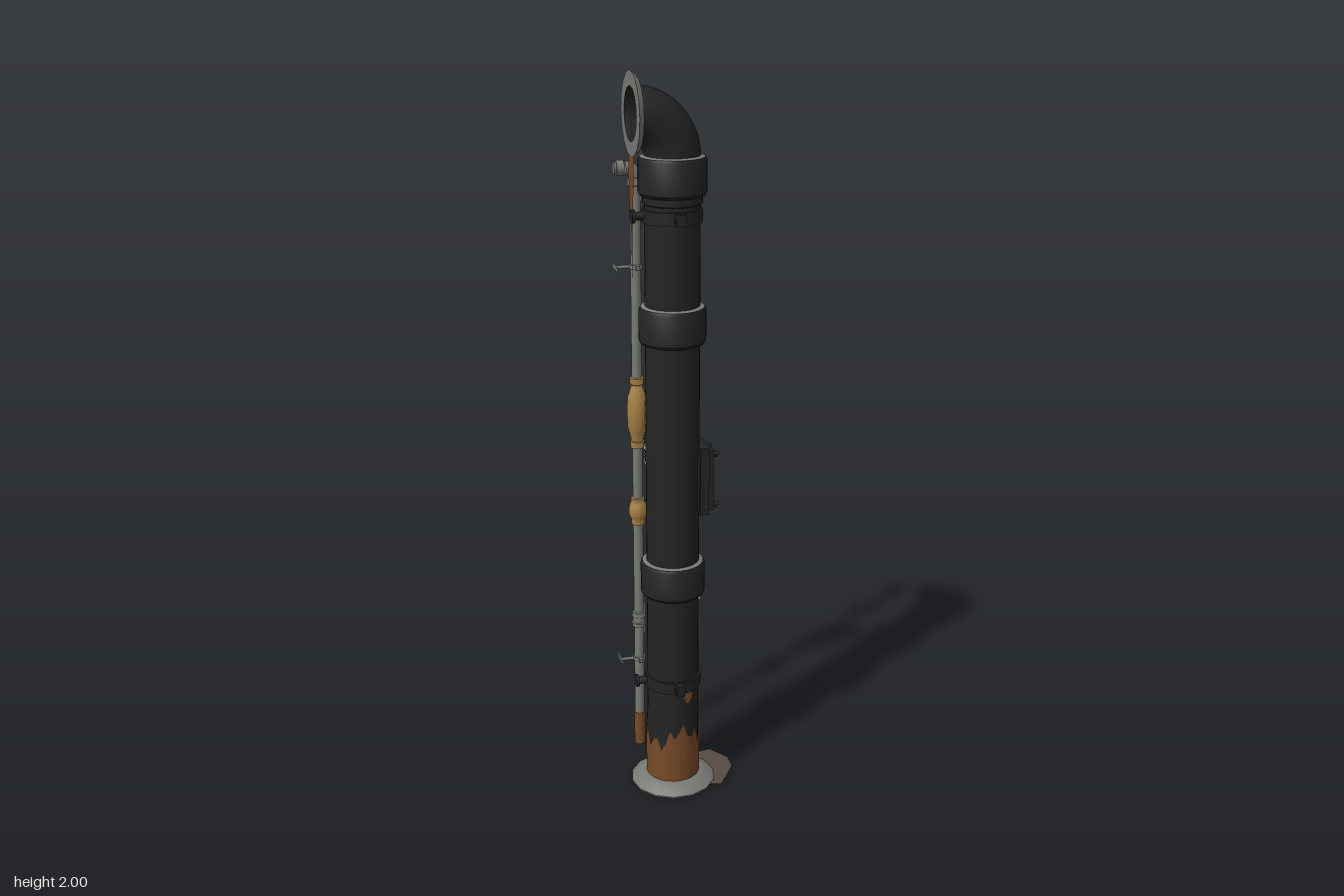
import * as THREE from 'three';
import { toCreasedNormals } from 'three/addons/utils/BufferGeometryUtils.js';

const mat = (name, color, side = THREE.FrontSide) => {
  const m = new THREE.MeshStandardMaterial({ color, side });
  m.name = name;
  return m;
};
const V = (x, y) => new THREE.Vector2(x, y);

export function createModel() {
  const iron = mat('black iron', 0x242424, THREE.DoubleSide);
  const grey = mat('zinc grey', 0x777a74, THREE.DoubleSide);
  const brass = mat('brass', 0xa58145);
  const rust = mat('rust', 0x784a28, THREE.DoubleSide);
  const red = mat('red handle', 0x9c1a1a);
  const cream = mat('cream', 0xdedace, THREE.DoubleSide);
  const stain = mat('damp stain', 0x574b43);

  const root = new THREE.Group();
  root.name = 'drainAndWaterPipes';
  const CX = -0.03, CZ = 0.073, R = 0.072;   // drain pipe axis
  const SX = -0.079, SZ = -0.134;            // water pipe axis
  const WALL = -0.137;

  const group = (name, x, z) => {
    const g = new THREE.Group();
    g.name = name;
    g.position.set(x, 0, z);
    root.add(g);
    return g;
  };
  const add = (parent, name, geo, m, x = 0, y = 0, z = 0) => {
    const mesh = new THREE.Mesh(geo, m);
    mesh.name = name;
    mesh.position.set(x, y, z);
    parent.add(mesh);
    return mesh;
  };
  // Turned part: [radius, y] pairs from bottom to top
  const turned = (pts, sides = 24) =>
    toCreasedNormals(new THREE.LatheGeometry(pts.map(p => V(...p)), sides, Math.PI / 2), 0.6);
  const rod = (r, h, sides = 16) => new THREE.CylinderGeometry(r, r, h, sides);
  const rodX = (r, h, sides = 12) => rod(r, h, sides).rotateZ(-Math.PI / 2);
  const box = (x, y, z) => new THREE.BoxGeometry(x, y, z);

  // ---------- Drain pipe ----------
  const drain = group('drainPipe', CX, CZ);
  add(drain, 'drainTube', new THREE.CylinderGeometry(R, R, 1.78, 28, 1, true), iron, 0, 0.90, 0);

  for (const y of [0.64, 1.355, 1.74]) {
    add(drain, 'coupling', turned([[R, -0.052], [0.083, -0.049], [0.088, -0.042], [0.088, 0.04],
      [0.084, 0.047], [R, 0.047]], 28), iron, 0, y, 0);
    add(drain, 'couplingWornEdge', turned([[0.083, 0.0475], [R, 0.0505]], 28), grey, 0, y, 0);
  }
  add(drain, 'collar', turned([[R, -0.012], [0.077, -0.009], [0.077, 0.009], [R, 0.012]], 28), iron, 0, 1.68, 0);

  // Wall bands with ears and a standoff
  for (const y of [0.325, 1.64]) {
    add(drain, 'wallBand', turned([[R, -0.017], [0.078, -0.017], [0.078, 0.017], [R, 0.017]], 28), iron, 0, y, 0);
    for (const s of [-1, 1]) {
      add(drain, 'bandEar', box(0.022, 0.032, 0.022), iron, 0, y, s * 0.084);
      add(drain, 'bandBolt', rodX(0.006, 0.032, 6), iron, 0, y, s * 0.087);
    }
    add(drain, 'bandStandoff', rodX(0.011, 0.04), iron, -0.087, y, 0);
    add(drain, 'bandWallPlate', rodX(0.018, 0.008), iron, WALL - CX + 0.004, y, 0);
  }

  // Elbow to the wall, with flange
  const bend = CX - WALL;
  add(drain, 'elbow', new THREE.TorusGeometry(bend, R, 24, 16, Math.PI / 2), iron, -bend, 1.787, 0);
  const flange = turned([[0.068, 0], [0.106, 0], [0.095, 0.014], [R, 0.015]].map(([r, y]) => [r, -y]).reverse(), 16);
  flange.rotateZ(Math.PI / 2);
  add(drain, 'wallFlange', flange, grey, -bend, 1.894, 0);
  add(drain, 'baseFlange', turned([[0.073, 0], [0.12, 0], [0.12, 0.004], [0.098, 0.02], [0.08, 0.028], [R, 0.028]], 14), grey);
  add(drain, 'baseOpening', rod(0.073, 0.004, 28), iron, 0, 0.008, 0);

  // Ragged rust sleeve at the foot
  const sleeve = new THREE.CylinderGeometry(0.0755, 0.0755, 0.12, 36, 1, true);
  const sp = sleeve.attributes.position;
  for (let i = 0; i < sp.count; i++) {
    if (sp.getY(i) > 0) {
      const a = (i % 37) % 36;
      sp.setY(i, 0.085 + 0.025 * Math.sin(a * 1.9) + 0.022 * Math.sin(a * Math.PI / 6 + 1));
    }
  }
  sleeve.computeVertexNormals();
  add(drain, 'rustFoot', sleeve, rust, 0, 0.08, 0);

  // Flat outline wrapped on the drain pipe at a given angle
  const patch = (name, m, deg, y, pts, lift = 0.0025) => {
    const g = new THREE.ShapeGeometry(new THREE.Shape(pts.map(p => V(...p))));
    const p = g.attributes.position, r = R + lift;
    for (let i = 0; i < p.count; i++) {
      const a = deg * Math.PI / 180 - p.getX(i) / r;
      p.setXYZ(i, r * Math.cos(a), p.getY(i), r * Math.sin(a));
    }
    g.computeVertexNormals();
    add(drain, name, g, m, 0, y, 0);
  };
  const blot = (w, h) => [[-0.5, 0.2], [-0.35, -0.1], [-0.2, -0.45], [0.1, -0.5], [0.4, -0.2],
    [0.5, 0.25], [0.25, 0.45], [-0.25, 0.5]].map(([x, y]) => [x * w, y * h]);
  patch('rustPatch', rust, -46, 1.535, blot(0.042, 0.075));
  patch('rustPatch', rust, 14, 0.24, blot(0.026, 0.085));
  patch('rustPatch', rust, 68, 0.29, blot(0.034, 0.035));
  patch('rustStreak', rust, -31, 0.81, blot(0.01, 0.1));
  patch('rustStreak', rust, -5, 0.45, blot(0.008, 0.24));
  patch('paintSplash', cream, 0, 0.568, blot(0.044, 0.026), 0.004);
  patch('paintDrip', cream, 6, 0.46, [[-0.003, 0.1], [-0.002, -0.12], [0.002, -0.12], [0.003, 0.1]], 0.003);
  patch('paintDrip', cream, -14, 0.41, [[-0.002, 0.15], [-0.001, -0.17], [0.001, -0.17], [0.002, 0.15]], 0.003);

  // Rust run on the wall below the flange
  const run = new THREE.ShapeGeometry(new THREE.Shape([[-0.03, 0.03], [-0.026, -0.1], [-0.014, -0.17],
    [-0.008, -0.13], [0.002, -0.32], [0.012, -0.18], [0.024, -0.08], [0.03, 0.03]].map(p => V(...p))));
  add(drain, 'wallRustRun', run.rotateY(-Math.PI / 2), rust, -bend + 0.001, 1.79, 0);

  // Inspection hatch with four bolts
  const hatch = group('inspectionHatch', CX, CZ);
  add(hatch, 'hatchNeck', box(0.05, 0.17, 0.09), iron, 0.07, 0.925, -0.002);
  add(hatch, 'hatchFrame', box(0.024, 0.19, 0.108), iron, 0.076, 0.925, -0.002);
  add(hatch, 'hatchCover', box(0.014, 0.17, 0.092), iron, 0.095, 0.925, -0.002);
  for (const y of [0.853, 0.997]) for (const z of [-0.036, 0.034]) {
    add(hatch, 'hatchBolt', rodX(0.005, 0.03, 8), iron, 0.104, y, z);
    add(hatch, 'hatchNut', rodX(0.009, 0.008, 6), iron, 0.108, y, z);
  }

  // Damp patch on the ground
  const puddle = new THREE.ExtrudeGeometry(new THREE.Shape([[0.0, 0.02], [0.045, 0.025], [0.11, 0.035], [0.15, -0.02],
    [0.15, -0.07], [0.093, -0.155], [0.055, -0.145], [0.0, -0.12]].map(p => V(...p))), { depth: 0.003, bevelEnabled: false });
  add(root, 'dampPatch', puddle.rotateX(-Math.PI / 2), stain);

  // ---------- Water pipe ----------
  const water = group('waterPipe', SX, SZ);
  add(water, 'waterTube', rod(0.0145, 1.69), grey, 0, 0.855, 0);
  add(water, 'rustyEnd', rod(0.0165, 0.105), rust, 0, 0.0525, 0);
  add(water, 'pipeCoupling', turned([[0.014, -0.024], [0.019, -0.022], [0.021, -0.01], [0.018, -0.008], [0.018, 0.008],
    [0.021, 0.01], [0.019, 0.022], [0.014, 0.024]], 16), grey, 0, 0.412, 0);
  // Top elbow turning to the wall
  add(water, 'elbowCollar', turned([[0.014, -0.012], [0.021, -0.01], [0.021, 0.01], [0.017, 0.012]], 16), grey, 0, 1.692, 0);
  add(water, 'waterElbow', new THREE.TorusGeometry(0.028, 0.018, 14, 10, Math.PI / 2), grey, -0.028, 1.7, 0);
  add(water, 'elbowCollar', rodX(0.021, 0.02, 16), grey, -0.042, 1.728, 0);
  add(water, 'elbowStub', rodX(0.016, 0.012, 16), grey, -0.052, 1.728, 0);
  // Pipe clips fixed to the wall
  for (const y of [0.285, 1.463]) {
    add(water, 'pipeClip', rod(0.0185, 0.012), grey, 0, y, 0);
    add(water, 'clipRod', rodX(0.005, 0.04, 8), grey, -0.037, y, 0);
    add(water, 'clipWallPlate', box(0.004, 0.012, 0.066), grey, -0.056, y, 0);
    add(water, 'clipLugs', box(0.01, 0.012, 0.056), grey, 0, y, 0);
  }
  for (const [y, h] of [[0.45, 0.026], [0.375, 0.016], [1.652, 0.022]])
    add(water, 'paintFleck', box(0.002, h, 0.009), cream, 0.0146, y, 0.004);

  // Ball valve with lever
  add(water, 'valveBody', turned([[0.014, -0.042], [0.02, -0.04], [0.02, -0.025], [0.026, -0.012], [0.027, 0.004],
    [0.024, 0.018], [0.02, 0.026], [0.02, 0.038], [0.014, 0.04]], 12), brass, 0, 0.755, 0);
  add(water, 'valveStem', rodX(0.007, 0.022, 8), brass, 0.032, 0.752, 0);
  add(water, 'valveLever', box(0.006, 0.1, 0.013), red, 0.051, 0.707, 0).rotation.z = 0.2;

  // ---------- Water meter ----------
  const meter = group('waterMeter', SX, SZ);
  add(meter, 'meterBody', turned([[0.014, -0.105], [0.02, -0.103], [0.02, -0.085], [0.017, -0.083], [0.021, -0.065],
    [0.027, -0.045], [0.029, 0], [0.027, 0.045], [0.02, 0.065], [0.016, 0.08], [0.02, 0.083], [0.02, 0.1], [0.014, 0.102]], 12),
    brass, 0, 1.05, 0);
  add(meter, 'meterCase', rodX(0.042, 0.033, 24), brass, 0.033, 1.05, 0);
  add(meter, 'meterDial', rodX(0.034, 0.002, 24), cream, 0.0502, 1.05, 0);
  add(meter, 'dialWindow', box(0.001, 0.006, 0.026), iron, 0.0518, 1.064, 0);
  add(meter, 'dialNeedle', box(0.001, 0.024, 0.004), iron, 0.0518, 1.044, 0.004).rotation.x = 0.4;
  add(meter, 'dialMark', box(0.001, 0.009, 0.008), iron, 0.0518, 1.036, -0.011);
  // Open hinged lid
  const lid = new THREE.Group();
  lid.name = 'meterLid';
  lid.position.set(0.05, 1.092, 0);
  lid.rotation.z = 0.4;
  meter.add(lid);
  add(lid, 'lidDisc', rod(0.043, 0.008, 24), iron, 0.043, 0, 0);
  add(lid, 'lidHinge', box(0.014, 0.012, 0.024), brass, 0, -0.002, 0);
  // Tag on a wire
  const wire = new THREE.CatmullRomCurve3([[0.014, 0.965, -0.012], [0.032, 0.96, -0.02], [0.032, 0.93, -0.036]]
    .map(p => new THREE.Vector3(...p)));
  add(meter, 'tagWire', new THREE.TubeGeometry(wire, 8, 0.0015, 5), iron);
  const tag = add(meter, 'tag', box(0.003, 0.054, 0.03), cream, 0.032, 0.908, -0.038);
  tag.rotation.x = 0.25;
  for (const y of [-0.014, -0.003, 0.009])
    add(tag, 'tagLine', box(0.005, 0.005, 0.02), iron, 0, y, 0);

  return root;
}
